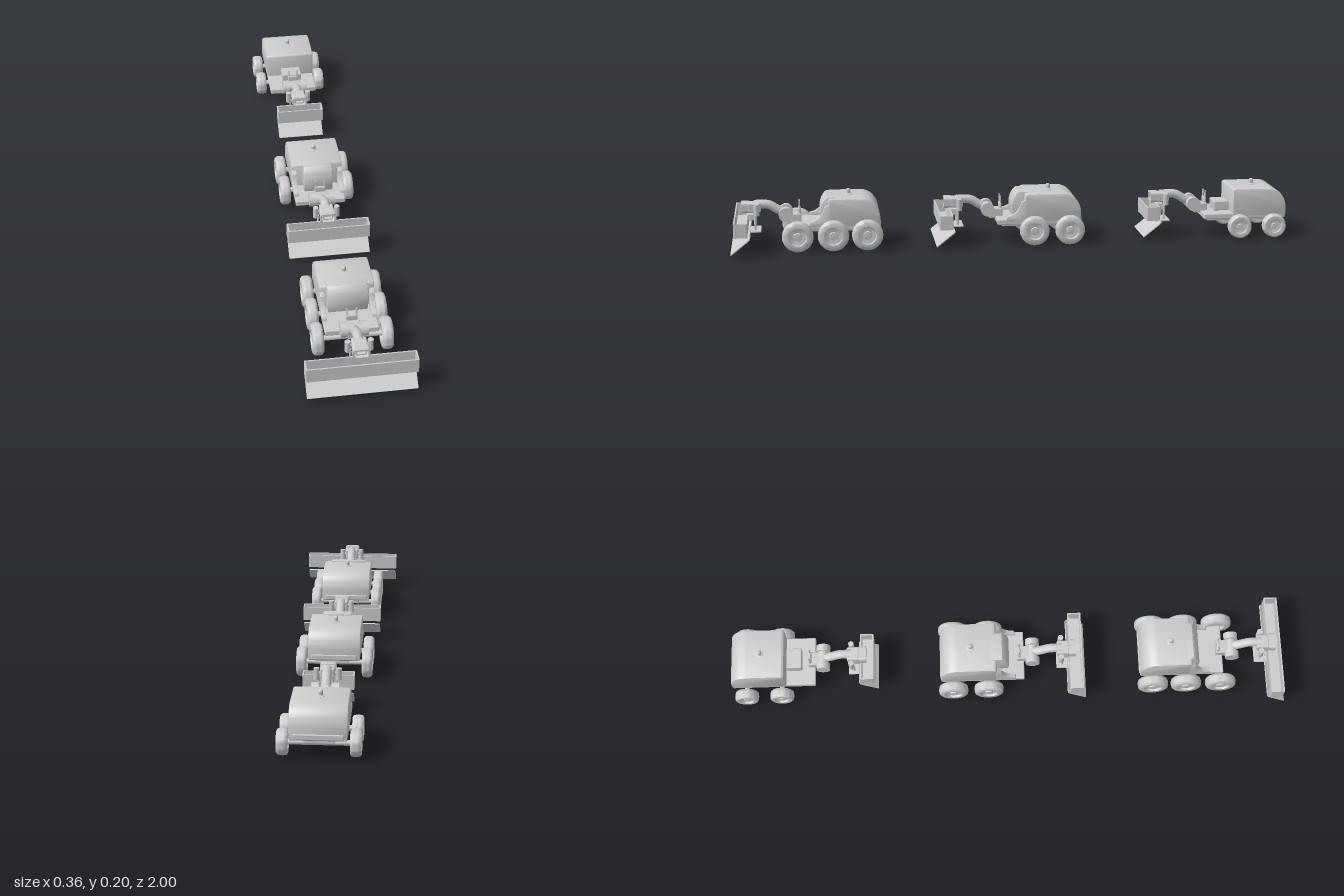
import * as THREE from 'three';
import { toCreasedNormals } from 'three/addons/utils/BufferGeometryUtils.js';
import { RoundedBoxGeometry } from 'three/addons/geometries/RoundedBoxGeometry.js';

const grey = new THREE.MeshStandardMaterial({ color: 0xcccccc, side: THREE.DoubleSide });

function add(parent, name, geometry, x = 0, y = 0, z = 0) {
  const mesh = new THREE.Mesh(geometry, grey);
  mesh.name = name;
  mesh.position.set(x, y, z);
  parent.add(mesh);
  return mesh;
}

const box = (w, h, d, r = 0.004) => new RoundedBoxGeometry(w, h, d, 2, r);
const barX = (r, length, n = 24) => new THREE.CylinderGeometry(r, r, length, n).rotateZ(Math.PI / 2);

// Side profile drawn as (z, y), extruded across x with a soft edge
function sideExtrude(shape, width, bevel = 0.004) {
  const g = new THREE.ExtrudeGeometry(shape, {
    depth: width - 2 * bevel, bevelThickness: bevel, bevelSize: bevel, bevelOffset: -bevel,
    bevelSegments: 2, curveSegments: 12,
  });
  g.translate(0, 0, -(width - 2 * bevel) / 2).rotateY(-Math.PI / 2);
  return toCreasedNormals(g, 0.6);
}

function roundedRect(w, h, r) {
  const s = new THREE.Shape(), x = w / 2, y = h / 2;
  s.moveTo(-x + r, -y).lineTo(x - r, -y).quadraticCurveTo(x, -y, x, -y + r);
  s.lineTo(x, y - r).quadraticCurveTo(x, y, x - r, y);
  s.lineTo(-x + r, y).quadraticCurveTo(-x, y, -x, y - r);
  s.lineTo(-x, -y + r).quadraticCurveTo(-x, -y, -x + r, -y);
  return s;
}

// Rectangular ring extruded along z
function frame(w, h, depth, wall, r) {
  const s = roundedRect(w, h, r);
  s.holes.push(roundedRect(w - 2 * wall, h - 2 * wall, r * 0.6));
  return new THREE.ExtrudeGeometry(s, { depth, bevelEnabled: false }).translate(0, 0, -depth / 2);
}

// Tyre with a dished hub, turned about x
function wheelGeometry(r) {
  const w = 0.018;
  const pts = [[0, -w * 0.5], [0.5, -w * 0.5], [0.55, -w], [0.85, -w], [0.96, -w * 0.75], [1, -w * 0.3],
    [1, w * 0.3], [0.96, w * 0.75], [0.85, w], [0.58, w], [0.53, w * 0.6], [0.28, w * 0.45],
    [0.25, w * 0.85], [0, w * 0.95]].map(([a, b]) => new THREE.Vector2(a * r, b));
  return toCreasedNormals(new THREE.LatheGeometry(pts, 36).rotateZ(-Math.PI / 2), 0.7);
}

function addWheels(parent, axles, r) {
  const geometry = wheelGeometry(r), y = r + (r < 0.05 ? 0.005 : 0);
  for (const z of axles) {
    for (const side of [1, -1]) {
      const wheel = add(parent, side > 0 ? 'leftWheel' : 'rightWheel', geometry, side * 0.115, y, z);
      if (side < 0) wheel.rotation.y = Math.PI;
    }
    add(parent, 'axle', barX(0.009, 0.2, 16), 0, y, z);
    add(parent, 'axleMount', box(0.03, 0.03, 0.03), 0, 0.065, z);
  }
}

// Hood with a rounded tail, slightly crowned across its width
function addBody(parent, front, rear) {
  const s = new THREE.Shape();
  s.moveTo(rear, 0.08).lineTo(rear, 0.115);
  s.bezierCurveTo(rear + 0.005, 0.15, rear + 0.025, 0.178, rear + 0.065, 0.18);
  s.lineTo(front - 0.012, 0.18).quadraticCurveTo(front, 0.18, front, 0.17);
  s.lineTo(front, 0.08).closePath();
  add(parent, 'body', sideExtrude(s, 0.184, 0.006));
  add(parent, 'rearBumper', box(0.16, 0.02, 0.018), 0, 0.083, rear + 0.006);

  const knob = [[0, 0], [0.014, 0], [0.014, 0.003], [0.008, 0.006], [0.008, 0.019], [0.005, 0.023], [0, 0.024]]
    .map(([x, y]) => new THREE.Vector2(x, y));
  add(parent, 'beacon', toCreasedNormals(new THREE.LatheGeometry(knob, 20), 0.6), 0, 0.178, -0.418);
}

// Curved screen bulging from the front of the hood
function addScreen(parent, back, front, width) {
  const s = new THREE.Shape();
  s.moveTo(back, 0.09).lineTo(front - 0.005, 0.09);
  s.bezierCurveTo(front + 0.006, 0.125, front, 0.165, front - 0.025, 0.183);
  s.lineTo(back, 0.183).closePath();
  add(parent, 'frontScreen', sideExtrude(s, width, 0.005));
}

// Jointed arm, sensor head, tray and blade; the blade tip is at z = 0
function addTool(parent, halfWidth) {
  const tool = new THREE.Group();
  tool.name = 'frontTool';
  parent.add(tool);

  add(tool, 'armBase', box(0.05, 0.035, 0.05), 0, 0.1, -0.225);
  add(tool, 'armPivot', barX(0.018, 0.08), 0, 0.118, -0.195);
  for (const x of [-0.034, 0.034]) add(tool, 'pivotDisc', barX(0.025, 0.024), x, 0.118, -0.195);
  const path = new THREE.CatmullRomCurve3([[0.118, -0.195], [0.132, -0.165], [0.149, -0.135], [0.152, -0.09]]
    .map(([y, z]) => new THREE.Vector3(0, y, z)));
  add(tool, 'arm', new THREE.TubeGeometry(path, 20, 0.016, 12));

  // Sensor head with hooded opening and side drums
  add(tool, 'headBlock', box(0.05, 0.036, 0.045, 0.006), 0, 0.142, -0.085);
  add(tool, 'headHood', frame(0.056, 0.038, 0.026, 0.006, 0.01), 0, 0.143, -0.052);
  add(tool, 'headLens', frame(0.036, 0.024, 0.014, 0.004, 0.008), 0, 0.143, -0.057);
  for (const x of [-0.037, 0.037]) {
    add(tool, 'headDrum', new THREE.CylinderGeometry(0.01, 0.01, 0.04, 16), x, 0.137, -0.092);
    add(tool, 'headLink', barX(0.006, 0.03, 12), x * 0.7, 0.14, -0.092);
    add(tool, 'supportPost', new THREE.CylinderGeometry(0.004, 0.004, 0.075, 10), x * 0.8, 0.092, -0.087);
  }
  add(tool, 'supportPlate', box(0.09, 0.006, 0.055, 0.002), 0, 0.06, -0.08);
  add(tool, 'trayBracket', box(0.04, 0.025, 0.03), 0, 0.108, -0.073);

  // Open tray
  add(tool, 'tray', frame(halfWidth * 2, 0.048, 0.05, 0.005, 0.003).rotateX(-Math.PI / 2), 0, 0.095, -0.038);
  add(tool, 'trayFloor', new THREE.BoxGeometry(halfWidth * 2 - 0.006, 0.004, 0.044), 0, 0.073, -0.038);

  // Sloping blade with rounded upper corners
  const w = halfWidth - 0.002, h = 0.085, r = 0.012;
  const s = new THREE.Shape();
  s.moveTo(-w, 0).lineTo(w, 0).lineTo(w, h - r).quadraticCurveTo(w, h, w - r, h);
  s.lineTo(-w + r, h).quadraticCurveTo(-w, h, -w, h - r).closePath();
  const blade = add(tool, 'blade', new THREE.ExtrudeGeometry(s, { depth: 0.004, bevelEnabled: false }), 0, 0.008, -0.004);
  blade.rotation.x = -0.9;
}

// Controls standing on the front deck
function addControls(parent, seat) {
  add(parent, 'controlPost', box(0.04, 0.045, 0.01), 0, 0.115, -0.243);
  for (const x of [-0.016, 0.016])
    add(parent, 'controlLever', new THREE.CylinderGeometry(0.003, 0.003, 0.03, 8), x, 0.148, -0.243);
  if (seat) add(parent, 'deckBox', box(0.075, 0.035, 0.055), 0, 0.108, -0.3);
}

const vehicles = [
  { name: 'largeVehicle', z: 1, tool: 0.182, axles: [-0.235, -0.36, -0.48], radius: 0.055,
    front: -0.345, screen: [-0.315, 0.136], fenders: true },
  { name: 'mediumVehicle', z: 0.28, tool: 0.145, axles: [-0.355, -0.483], radius: 0.053,
    front: -0.325, screen: [-0.28, 0.104], fenders: true },
  { name: 'smallVehicle', z: -0.475, tool: 0.087, axles: [-0.35, -0.477], radius: 0.043, front: -0.33 },
];

export function createModel() {
  const model = new THREE.Group();
  model.name = 'vehicleRow';
  for (const v of vehicles) {
    const g = new THREE.Group();
    g.name = v.name;
    g.position.z = v.z;
    model.add(g);

    add(g, 'deck', box(0.18, 0.02, 0.3), 0, 0.08, -0.375);
    add(g, 'underframe', box(0.1, 0.016, 0.27), 0, 0.064, -0.38);
    addBody(g, v.front, -0.527);
    if (v.screen) addScreen(g, v.front - 0.02, ...v.screen);
    addControls(g, !v.screen);

    // Curved side cheeks beside the screen
    if (v.fenders) {
      const s = new THREE.Shape();
      s.moveTo(v.front - 0.01, 0.085).lineTo(v.front + 0.07, 0.085).lineTo(v.front + 0.066, 0.1);
      s.quadraticCurveTo(v.front + 0.025, 0.105, v.front + 0.015, 0.15).lineTo(v.front - 0.01, 0.165).closePath();
      for (const x of [-0.083, 0.083]) add(g, 'sideCheek', sideExtrude(s, 0.016, 0.002), x);
    }
    addWheels(g, v.axles, v.radius);
    addTool(g, v.tool);
  }
  return model;
}
